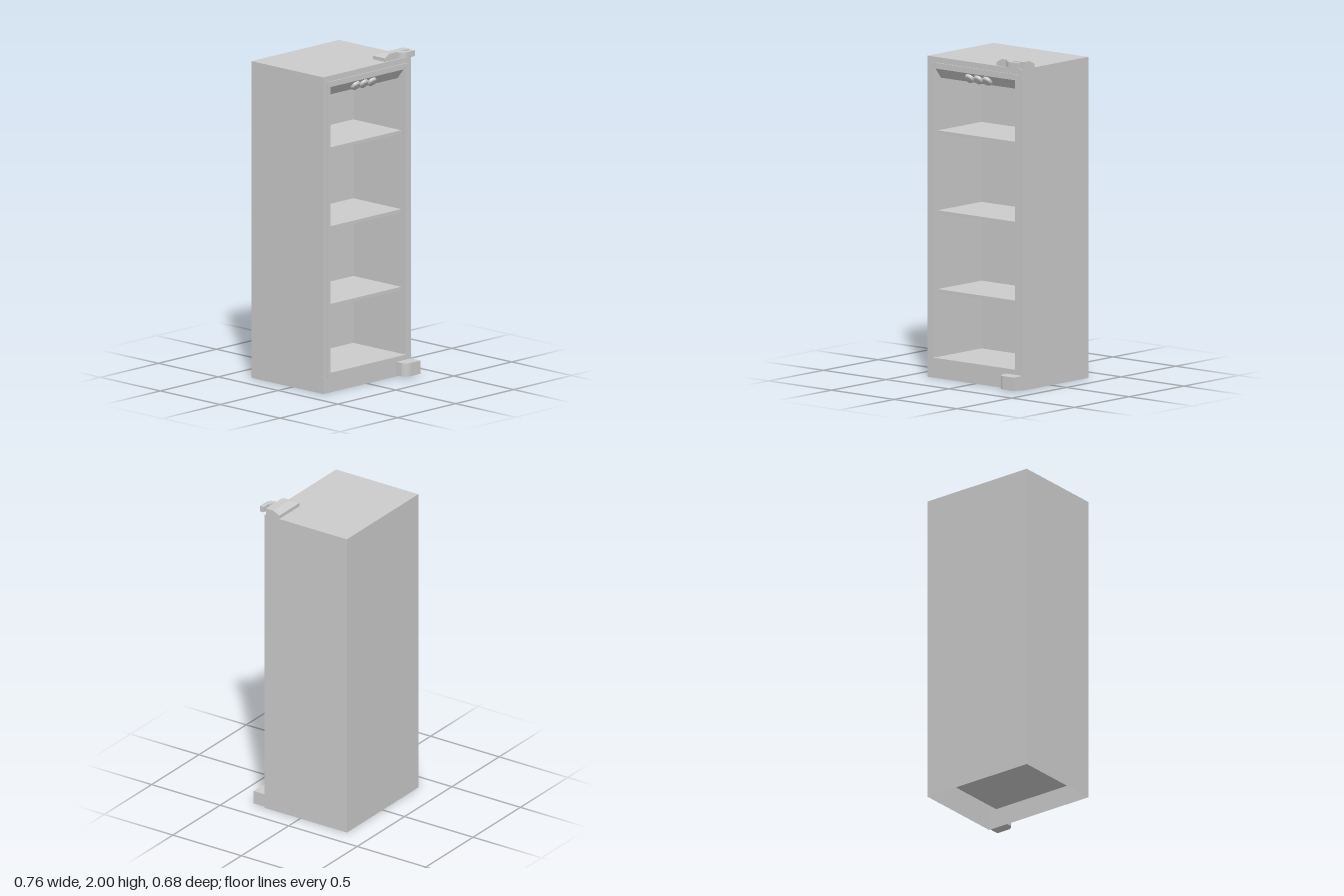
import * as THREE from 'three';

export function createModel() {
  const group = new THREE.Group();
  const grey = new THREE.MeshStandardMaterial({ color: 0xcccccc });
  const thin = new THREE.MeshStandardMaterial({ color: 0xcccccc, side: THREE.DoubleSide });

  function add(name, geometry, material = grey, parent = group) {
    const mesh = new THREE.Mesh(geometry, material);
    mesh.name = name;
    parent.add(mesh);
    return mesh;
  }

  // Folded sheet: a (z, y) path swept across the width from -w to w
  function sheet(path, w) {
    const pos = [];
    for (let i = 0; i + 1 < path.length; i++) {
      const [z0, y0] = path[i], [z1, y1] = path[i + 1];
      pos.push(-w, y0, z0, w, y0, z0, w, y1, z1, -w, y0, z0, w, y1, z1, -w, y1, z1);
    }
    const g = new THREE.BufferGeometry();
    g.setAttribute('position', new THREE.Float32BufferAttribute(pos, 3));
    g.computeVertexNormals();
    return g;
  }

  // Flat side wall from a (z, y) outline, at a given x
  function sideWall(path, x) {
    const shape = new THREE.Shape(path.map(([z, y]) => new THREE.Vector2(z, y)));
    return new THREE.ShapeGeometry(shape).rotateY(-Math.PI / 2).translate(x, 0, 0);
  }

  function roundedRect(target, x, y0, y1, r) {
    target.moveTo(-x + r, y0);
    target.lineTo(x - r, y0);
    target.quadraticCurveTo(x, y0, x, y0 + r);
    target.lineTo(x, y1 - r);
    target.quadraticCurveTo(x, y1, x - r, y1);
    target.lineTo(-x + r, y1);
    target.quadraticCurveTo(-x, y1, -x, y1 - r);
    target.lineTo(-x, y0 + r);
    target.quadraticCurveTo(-x, y0, -x + r, y0);
    return target;
  }

  // Plan outline (x, z) extruded from y0 up to y1
  function slab(shape, y0, y1) {
    return new THREE.ExtrudeGeometry(shape, { depth: y1 - y0, bevelEnabled: false, curveSegments: 8 })
      .rotateX(Math.PI / 2).translate(0, y1, 0);
  }

  const W = 0.378, TOP = 1.956, FRONT = 0.26, BACK = -0.34;
  const IN = 0.325, FLOOR = 0.123, HEAD = 1.903, INBACK = -0.17;

  // Outer cabinet, open underneath
  const cabinet = new THREE.Group();
  cabinet.name = 'cabinet';
  group.add(cabinet);
  const shell = [[BACK, 0], [BACK, TOP], [FRONT, TOP]];
  add('backAndTop', sheet(shell, W), thin, cabinet);
  for (const s of [-1, 1]) add('cabinetSide', sideWall([...shell, [FRONT, 0]], s * W), thin, cabinet);
  const face = new THREE.Shape();
  face.moveTo(-W, 0).lineTo(W, 0).lineTo(W, TOP).lineTo(-W, TOP);
  face.holes.push(roundedRect(new THREE.Path(), IN, FLOOR, HEAD, 0.012));
  add('frontFace', new THREE.ShapeGeometry(face).translate(0, 0, FRONT), thin, cabinet);

  // Inner compartment with a sloped control panel under its ceiling
  const liner = new THREE.Group();
  liner.name = 'liner';
  group.add(liner);
  const inner = [[FRONT, FLOOR], [INBACK, FLOOR], [INBACK, 1.82], [0.2, 1.82],
    [0.25, 1.882], [0.25, HEAD], [FRONT, HEAD]];
  add('linerFloorBackCeiling', sheet(inner, IN), thin, liner);
  for (const s of [-1, 1]) add('linerSide', sideWall(inner, s * IN), thin, liner);

  // Raised door seal around the opening
  const seal = roundedRect(new THREE.Shape(), 0.345, 0.104, 1.921, 0.004);
  seal.holes.push(roundedRect(new THREE.Path(), IN, FLOOR, HEAD, 0.012));
  add('doorSeal', new THREE.ExtrudeGeometry(seal, { depth: 0.007, bevelEnabled: false, curveSegments: 5 })
    .translate(0, 0, FRONT));

  // Shelves
  for (const y of [0.526, 1.006, 1.493]) {
    add('shelf', new THREE.BoxGeometry(IN * 2, 0.02, 0.4)).position.set(0, y, 0.03);
  }

  // Three control dials standing out of the sloped panel
  const normal = new THREE.Vector3(0, -0.05, 0.062).normalize();
  const dialProfile = [[0.033, 0], [0.033, 0.009], [0.028, 0.014], [0.025, 0.02], [0, 0.02]]
    .map(([r, h]) => new THREE.Vector2(r, h));
  for (const x of [-0.07, 0, 0.07]) {
    const dial = add('dial', new THREE.LatheGeometry(dialProfile, 24), thin);
    dial.position.set(x, 1.851, 0.225);
    dial.quaternion.setFromUnitVectors(new THREE.Vector3(0, 1, 0), normal);
  }

  // Lower hinge block with one rounded corner
  const lower = new THREE.Shape();
  lower.moveTo(0.25, FRONT).lineTo(W, FRONT).lineTo(W, 0.34).lineTo(0.295, 0.34);
  lower.absarc(0.295, 0.295, 0.045, Math.PI / 2, Math.PI, false);
  add('lowerHinge', slab(lower, 0.008, 0.09));

  // Upper hinge base: the top edge slopes in on the back and the inner side
  const base = new THREE.BoxGeometry(0.215, 0.044, 0.097, 1, 2, 1).translate(0.2705, 1.978, 0.2015);
  const p = base.attributes.position;
  for (let i = 0; i < p.count; i++) {
    if (p.getY(i) < 1.99) continue;
    if (p.getX(i) < 0.2) p.setX(i, 0.205);
    if (p.getZ(i) < 0.2) p.setZ(i, 0.197);
  }
  const flatBase = base.toNonIndexed();
  flatBase.computeVertexNormals();
  add('upperHingeBase', flatBase);

  // Hooked arm reaching forward from the upper hinge base
  const arm = new THREE.Shape();
  arm.moveTo(0.263, 0.25).lineTo(0.299, 0.25);
  arm.quadraticCurveTo(0.301, 0.27, 0.32, 0.27);
  arm.lineTo(0.371, 0.27).lineTo(0.371, 0.3).lineTo(0.304, 0.3);
  arm.quadraticCurveTo(0.265, 0.297, 0.263, 0.25);
  add('upperHingeArm', slab(arm, 1.965, 2));

  return group;
}
